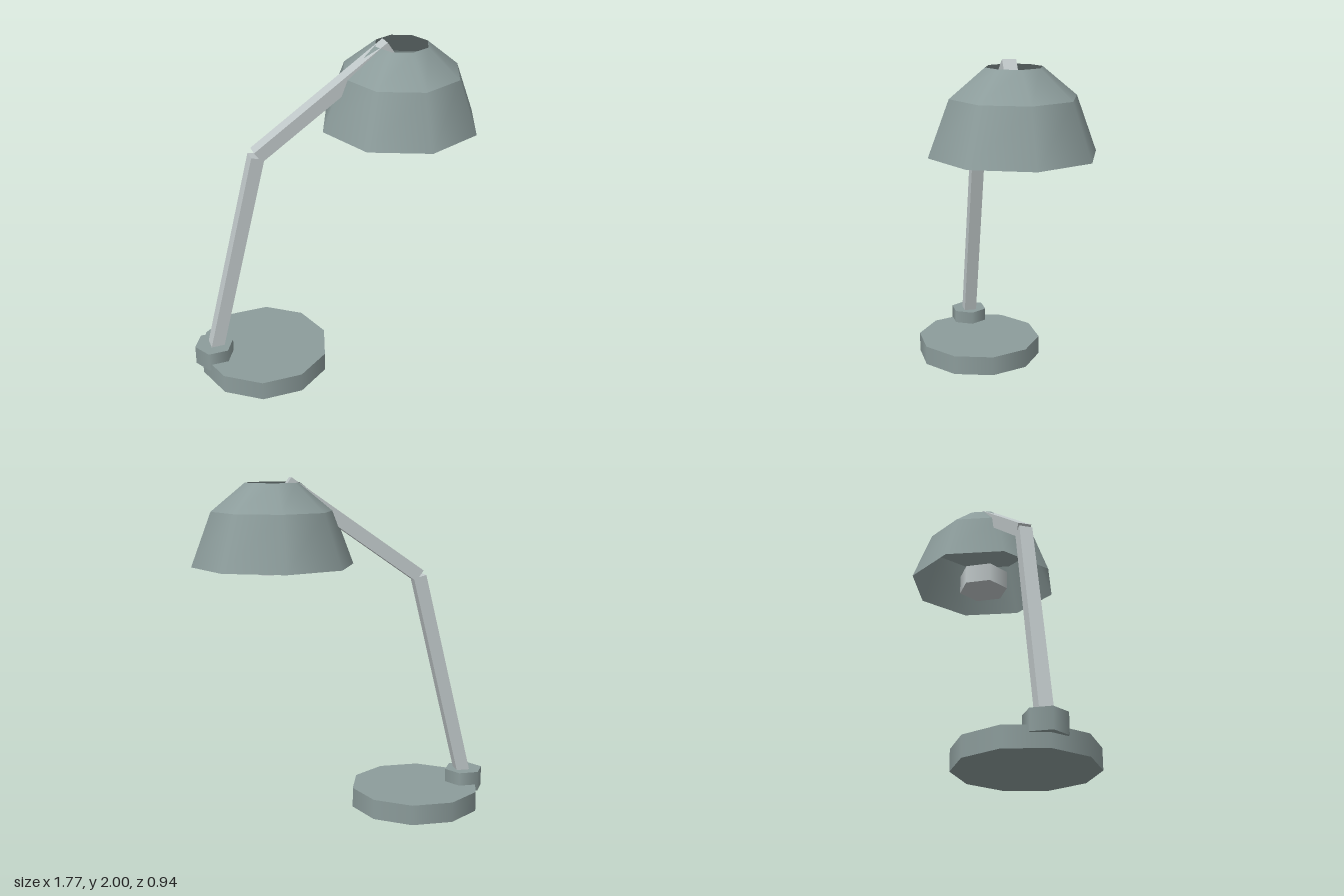
import * as THREE from 'three';

const housing = new THREE.MeshStandardMaterial({ color: 0x8c9c9b });
housing.name = 'grey green';
const shadeSurface = new THREE.MeshStandardMaterial({ color: 0x8c9c9b, side: THREE.DoubleSide });
shadeSurface.name = 'grey green shade';
const metal = new THREE.MeshStandardMaterial({ color: 0xc0c8c9 });
metal.name = 'light grey';

// Upright prism with a corner pointing along +x
function prism(name, material, sides, x, y0, y1, rTop, rBottom = rTop, open = false) {
  const geometry = new THREE.CylinderGeometry(rTop, rBottom, y1 - y0, sides, 1, open, Math.PI / 2);
  const mesh = new THREE.Mesh(geometry, material);
  mesh.name = name;
  mesh.position.set(x, (y0 + y1) / 2, 0);
  return mesh;
}

// Square bar between two points in the xy plane
function bar(name, x0, y0, x1, y1, thickness = 0.078) {
  const length = Math.hypot(x1 - x0, y1 - y0);
  const mesh = new THREE.Mesh(new THREE.BoxGeometry(length, thickness, thickness), metal);
  mesh.name = name;
  mesh.position.set((x0 + x1) / 2, (y0 + y1) / 2, 0);
  mesh.rotation.z = Math.atan2(y1 - y0, x1 - x0);
  return mesh;
}

export function createModel() {
  const model = new THREE.Group();
  model.name = 'deskLamp';

  // Foot and the socket that holds the arm
  model.add(prism('base', housing, 10, -0.452, 0, 0.12, 0.393));
  model.add(prism('armSocket', housing, 6, -0.768, 0.08, 0.2, 0.118));

  // Jointed arm
  model.add(bar('lowerArm', -0.77, 0.13, -0.457, 1.415));
  model.add(bar('upperArm', -0.455, 1.42, 0.33, 1.968));

  // Open shade in two bands with a crisp ridge between them
  const shade = new THREE.Group();
  shade.name = 'shade';
  shade.add(prism('shadeSkirt', shadeSurface, 8, 0.41, 1.5, 1.81, 0.353, 0.47, true));
  shade.add(prism('shadeCrown', shadeSurface, 8, 0.41, 1.81, 1.97, 0.158, 0.353, true));
  model.add(shade);

  // Light source hanging inside the shade
  model.add(prism('bulb', metal, 6, 0.41, 1.46, 1.58, 0.157));

  return model;
}
